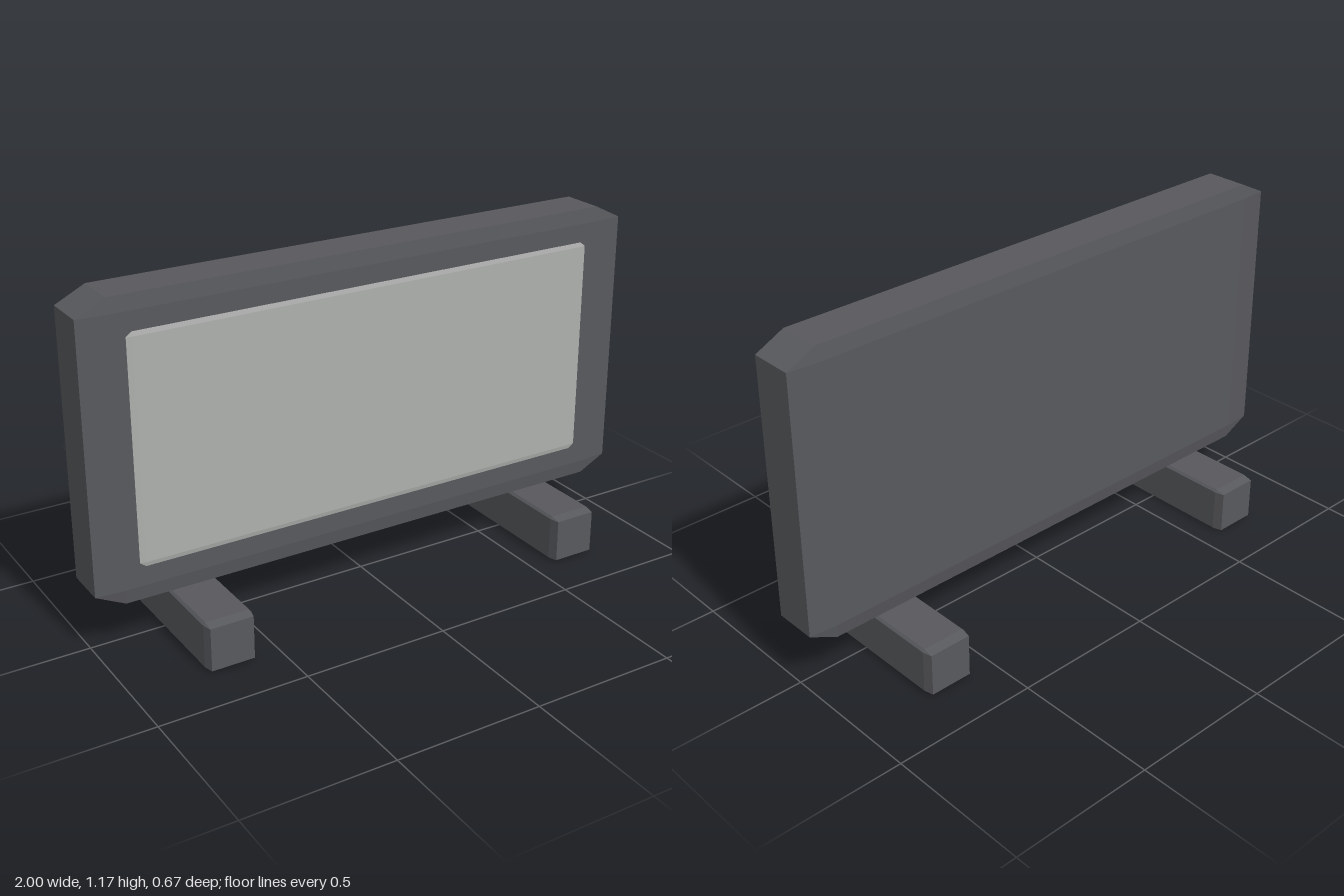
import * as THREE from 'three';
import { ConvexGeometry } from 'three/addons/geometries/ConvexGeometry.js';

// Box with every edge chamfered; size and cut are [x, y, z].
function chamferedBox(size, cut) {
  const points = [];
  for (const sx of [-1, 1]) for (const sy of [-1, 1]) for (const sz of [-1, 1]) {
    const signs = [sx, sy, sz];
    // One corner point for each of the three faces meeting here
    for (let face = 0; face < 3; face++) {
      points.push(new THREE.Vector3(...signs.map((s, i) => s * (size[i] / 2 - (i === face ? 0 : cut[i])))));
    }
  }
  return new ConvexGeometry(points);
}

export function createModel() {
  const model = new THREE.Group();
  model.name = 'television';
  const dark = new THREE.MeshStandardMaterial({ color: 0x58595d, flatShading: true });
  const light = new THREE.MeshStandardMaterial({ color: 0xaeb0ae, flatShading: true });

  function add(name, size, cut, position, material) {
    const mesh = new THREE.Mesh(chamferedBox(size, cut), material);
    mesh.name = name;
    mesh.position.set(...position);
    model.add(mesh);
  }

  // Casing
  add('casing', [2, 1, 0.166], [0.1, 0.05, 0.008], [0, 0.667, 0], dark);

  // Screen panel, standing slightly proud of the casing
  add('screen', [1.7, 0.77, 0.02], [0.02, 0.015, 0.003], [0, 0.668, 0.077], light);

  // Feet running front to back
  for (const side of [-1, 1]) {
    add(side > 0 ? 'leftFoot' : 'rightFoot', [0.164, 0.164, 0.667], [0.008, 0.008, 0.033],
      [side * 0.667, 0.082, 0], dark);
  }
  return model;
}
